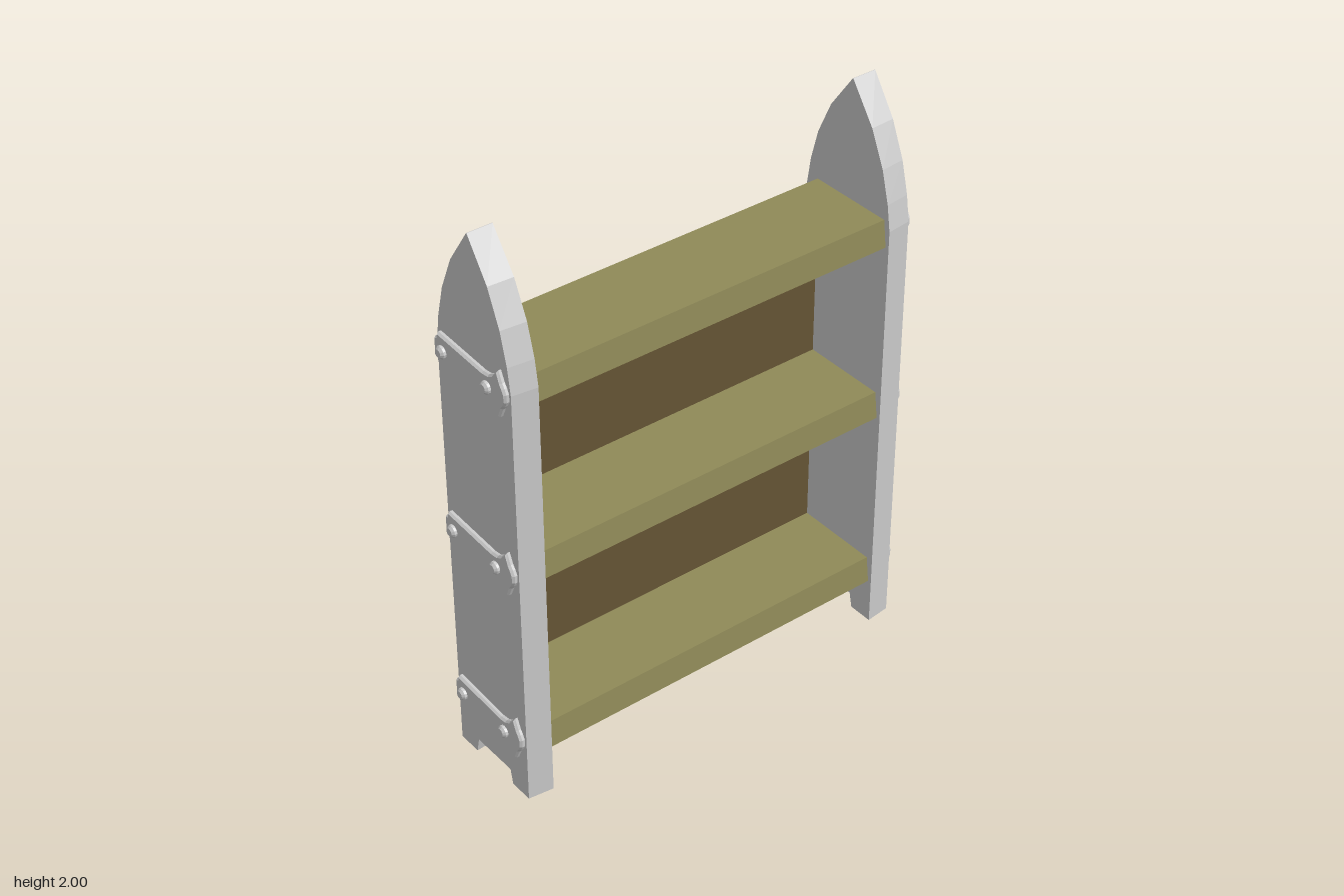
import * as THREE from 'three';

const grey = new THREE.MeshStandardMaterial({ color: 0xcccccc });
const olive = new THREE.MeshStandardMaterial({ color: 0x8f8a58 });
const brown = new THREE.MeshStandardMaterial({ color: 0x665535 });

const SHELF_Y = [0.21, 0.888, 1.535];
const STRAP_Y = [0.23, 0.885, 1.54];
const INNER = 0.662, OUTER = 0.75;

function mesh(geometry, material, name) {
  const m = new THREE.Mesh(geometry, material);
  m.name = name;
  return m;
}

// Closed shape from half an outline, mirrored across one axis
function mirrored(half, flipX) {
  const other = half.map(([x, y]) => (flipX ? [-x, y] : [x, -y])).reverse();
  return new THREE.Shape([...half, ...other].map(([x, y]) => new THREE.Vector2(x, y)));
}

// Pointed side board with a foot notch, narrowing slightly towards its outer face
function boardGeometry() {
  const half = [[0.092, 0.055], [0.104, 0], [0.194, 0], [0.194, 1.55],
    [0.18, 1.64], [0.15, 1.75], [0.095, 1.87], [0.001, 2]];
  const depth = OUTER - INNER;
  const geo = new THREE.ExtrudeGeometry(mirrored(half, true), { depth, bevelEnabled: false });
  const p = geo.attributes.position;
  for (let i = 0; i < p.count; i++) p.setX(i, p.getX(i) * (1 - 0.055 * p.getZ(i) / depth));
  geo.rotateY(Math.PI / 2);
  geo.translate(INNER, 0, 0);
  geo.computeVertexNormals();
  return geo;
}

// Iron strap: flared tip at the front, stepped end at the back
function strapGeometry() {
  const half = [[-0.17, 0.012], [-0.162, 0.028], [-0.152, 0.042], [-0.139, 0.074],
    [-0.118, 0.05], [-0.095, 0.037], [-0.065, 0.033], [0.157, 0.047],
    [0.161, 0.032], [0.172, 0.027]];
  const geo = new THREE.ExtrudeGeometry(mirrored(half, false), {
    depth: 0.009, bevelEnabled: true, bevelThickness: 0.008, bevelSize: 0.005, bevelSegments: 1,
  });
  geo.rotateY(Math.PI / 2);
  return geo;
}

// Round rivet with a chamfered head
function rivetGeometry() {
  const profile = [[0.021, 0], [0.021, 0.012], [0.014, 0.02], [0, 0.02]];
  const geo = new THREE.LatheGeometry(profile.map(([x, y]) => new THREE.Vector2(x, y)), 12);
  geo.rotateZ(-Math.PI / 2);
  return geo.toNonIndexed();
}

// Shelf plank whose front face leans back a little
function shelfGeometry() {
  const s = new THREE.Shape([[-0.18, -0.047], [0.145, -0.047], [0.145, 0.047], [-0.168, 0.047]]
    .map(([x, y]) => new THREE.Vector2(x, y)));
  const geo = new THREE.ExtrudeGeometry(s, { depth: 2 * INNER, bevelEnabled: false });
  geo.rotateY(Math.PI / 2);
  geo.translate(-INNER, 0, 0);
  return geo;
}

export function createModel() {
  const model = new THREE.Group();
  model.name = 'bookshelf';

  const board = boardGeometry(), strap = strapGeometry(), rivet = rivetGeometry();
  rivet.computeVertexNormals();

  for (const side of [1, -1]) {
    const label = side > 0 ? 'left' : 'right';
    const panel = mesh(board, grey, `${label}SideBoard`);
    if (side < 0) panel.rotation.y = Math.PI;
    model.add(panel);

    // Riveted straps on the outer face
    for (const y of STRAP_Y) {
      const bracket = new THREE.Group();
      bracket.name = `${label}Strap`;
      bracket.add(mesh(strap, grey, 'strapPlate'));
      for (const z of [0.09, -0.133]) {
        const r = mesh(rivet, grey, 'rivet');
        r.position.set(0.014, 0, z);
        bracket.add(r);
      }
      bracket.position.set(side * OUTER, y, 0);
      if (side < 0) bracket.rotation.z = Math.PI;
      model.add(bracket);
    }
  }

  // Shelves
  const shelf = shelfGeometry();
  for (const y of SHELF_Y) {
    const s = mesh(shelf, olive, 'shelf');
    s.position.y = y;
    model.add(s);
  }

  // Back board
  const back = mesh(new THREE.BoxGeometry(2 * INNER, 1.37, 0.014), brown, 'backBoard');
  back.position.set(0, 0.885, -0.147);
  model.add(back);

  return model;
}
